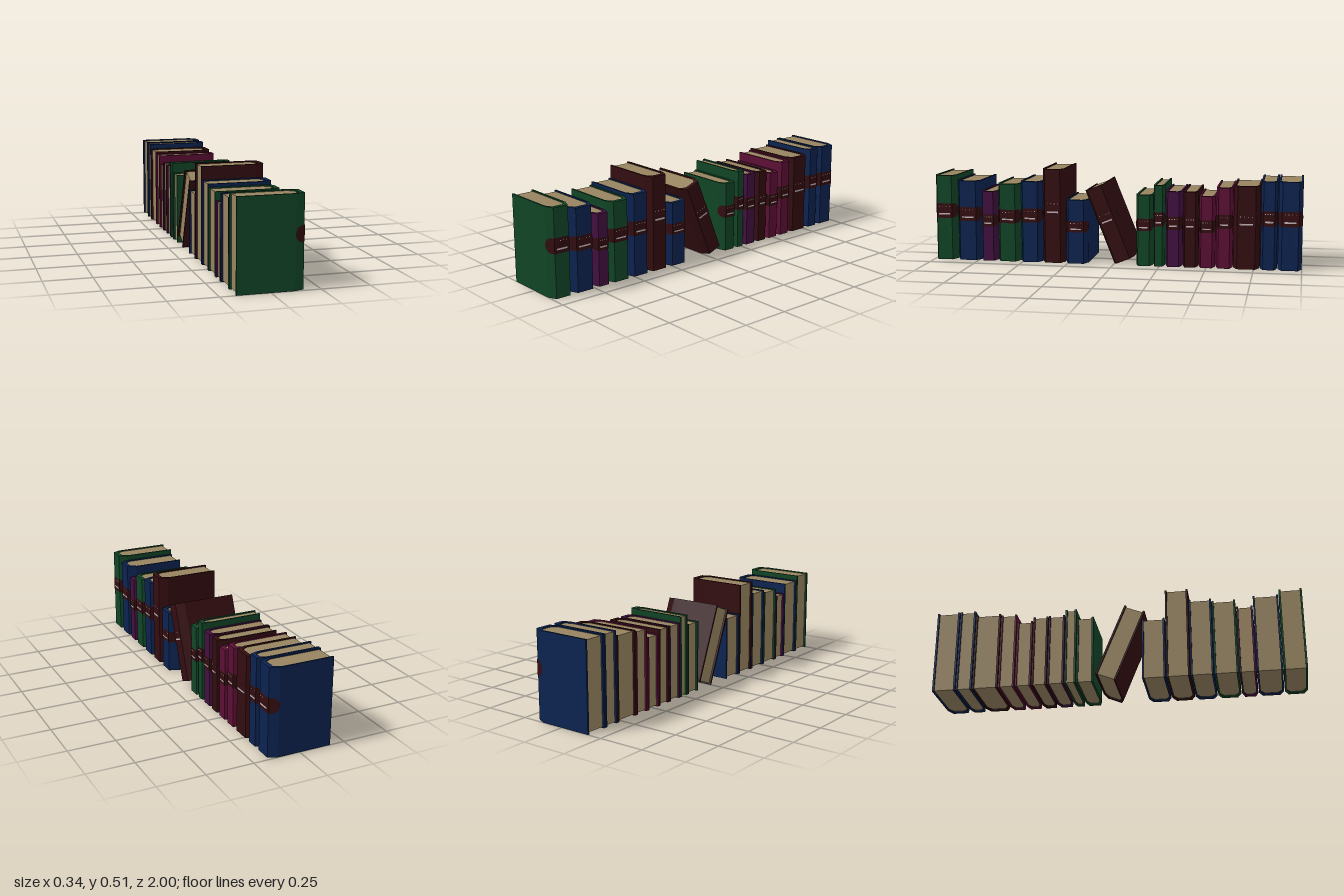
import * as THREE from 'three';

const mat = (name, color) => {
  const m = new THREE.MeshStandardMaterial({ color });
  m.name = name;
  return m;
};

// plan of every book: fore edge, start of the bevel, spine face
const FORE = -0.17, BEVEL = 0.12, SPINE = 0.167, BOARD = 0.01;

// outer half thickness at depth x
function halfAt(x, t) {
  const k = Math.max(0, (x - BEVEL) / (SPINE - BEVEL));
  return t / 2 - Math.min(1, k) * t * 0.16;
}

// extrudes a plan outline upwards from y0
function prism(points, height, y0) {
  const shape = new THREE.Shape(points.map(([x, z]) => new THREE.Vector2(x, z)));
  const g = new THREE.ExtrudeGeometry(shape, { depth: height, bevelEnabled: false });
  g.rotateX(-Math.PI / 2);
  g.translate(0, y0, 0);
  return g;
}

// label strip wrapped round the spine, with a rounded end on each board
function labelGeometry(t, h) {
  const r = h * 0.087, start = SPINE - 0.05, lift = 0.0015, side = [];
  for (let i = 0; i <= 8; i++) {
    const x = start + r * (1 - Math.cos((i / 8) * Math.PI / 2));
    if (x < SPINE) side.push([x, halfAt(x, t) + lift, r * Math.sin((i / 8) * Math.PI / 2)]);
  }
  if (start < BEVEL) side.push([BEVEL, t / 2 + lift, Math.sqrt(r * r - (r - BEVEL + start) ** 2)]);
  side.push([SPINE + lift, halfAt(SPINE, t) + lift, r]);
  side.sort((a, b) => a[0] - b[0]);
  const path = [...side, ...side.map(([x, z, y]) => [x, -z, y]).reverse()];
  const pos = [], index = [];
  path.forEach(([x, z, y], i) => {
    pos.push(x, h * 0.583 - y, z, x, h * 0.583 + y, z);
    if (i) {
      const a = 2 * i - 2;
      index.push(a, a + 2, a + 1, a + 1, a + 2, a + 3);
    }
  });
  const g = new THREE.BufferGeometry();
  g.setAttribute('position', new THREE.Float32BufferAttribute(pos, 3));
  g.setIndex(index);
  const flat = g.toNonIndexed();
  flat.computeVertexNormals();
  return flat;
}

export function createModel() {
  const model = new THREE.Group();
  model.name = 'bookRow';
  const cloth = {
    green: mat('green cloth', 0x104526),
    blue: mat('blue cloth', 0x0c2350),
    purple: mat('purple cloth', 0x430f40),
    red: mat('dark red leather', 0x330d10),
    wine: mat('wine cloth', 0x5c0f34),
  };
  const paper = mat('paper', 0x96835f);
  const pale = mat('pale print', 0xc8b8bc);

  function makeBook(color, t, h) {
    const book = new THREE.Group();
    book.name = color + 'Book';
    const add = (name, geometry, material) => {
      const m = new THREE.Mesh(geometry, material);
      m.name = name;
      book.add(m);
      return m;
    };
    const a = t / 2, s = halfAt(SPINE, t), i = a - BOARD, e = Math.max(s - BOARD, 0.01);

    // C-shaped cover: two boards joined by a bevelled spine
    add('cover', prism([
      [FORE, -a], [BEVEL, -a], [SPINE, -s], [SPINE, s], [BEVEL, a], [FORE, a],
      [FORE, i], [BEVEL - 0.01, i], [0.143, e], [0.143, -e], [BEVEL - 0.01, -i], [FORE, -i],
    ], h, 0), cloth[color]);

    // page block, slightly recessed
    add('pages', prism([
      [FORE + 0.01, -i], [BEVEL - 0.01, -i], [0.143, -e],
      [0.143, e], [BEVEL - 0.01, i], [FORE + 0.01, i],
    ], h - 0.012, 0.006), paper);

    add('spineLabel', labelGeometry(t, h), cloth.red);

    // printed rule and dots on the label
    const rule = add('spineRule', new THREE.BoxGeometry(0.002, h * 0.018, t * 0.5), pale);
    rule.position.set(SPINE + 0.002, h * 0.545, 0);
    for (let k = -1.5; k <= 1.5; k++) {
      const dot = add('spineDot', new THREE.BoxGeometry(0.002, 0.004, 0.004), pale);
      dot.position.set(SPINE + 0.002, h * 0.635, k * t * 0.15);
    }
    return book;
  }

  // colour, front z, back z, height
  const upright = [
    ['green', 1.0, 0.878, 0.465], ['blue', 0.874, 0.74, 0.438], ['purple', 0.736, 0.65, 0.382],
    ['green', 0.645, 0.521, 0.425], ['blue', 0.517, 0.397, 0.441], ['red', 0.393, 0.27, 0.51],
    ['blue', 0.265, 0.142, 0.346], ['green', -0.12, -0.211, 0.382], ['green', -0.215, -0.275, 0.435],
    ['purple', -0.28, -0.368, 0.404], ['red', -0.372, -0.454, 0.404], ['wine', -0.458, -0.544, 0.382],
    ['wine', -0.549, -0.636, 0.43], ['red', -0.64, -0.779, 0.44], ['blue', -0.783, -0.87, 0.467],
    ['blue', -0.874, -1.0, 0.467],
  ];
  for (const [color, z1, z0, h] of upright) {
    const book = makeBook(color, z1 - z0, h);
    book.position.z = (z0 + z1) / 2;
    model.add(book);
  }

  // book leaning forward on its lower edge
  const thick = 0.118, leaning = new THREE.Group();
  leaning.name = 'leaningBook';
  const book = makeBook('red', thick, 0.425);
  book.position.z = -thick / 2;
  leaning.add(book);
  leaning.rotation.x = 0.383;
  model.add(leaning);

  return model;
}
